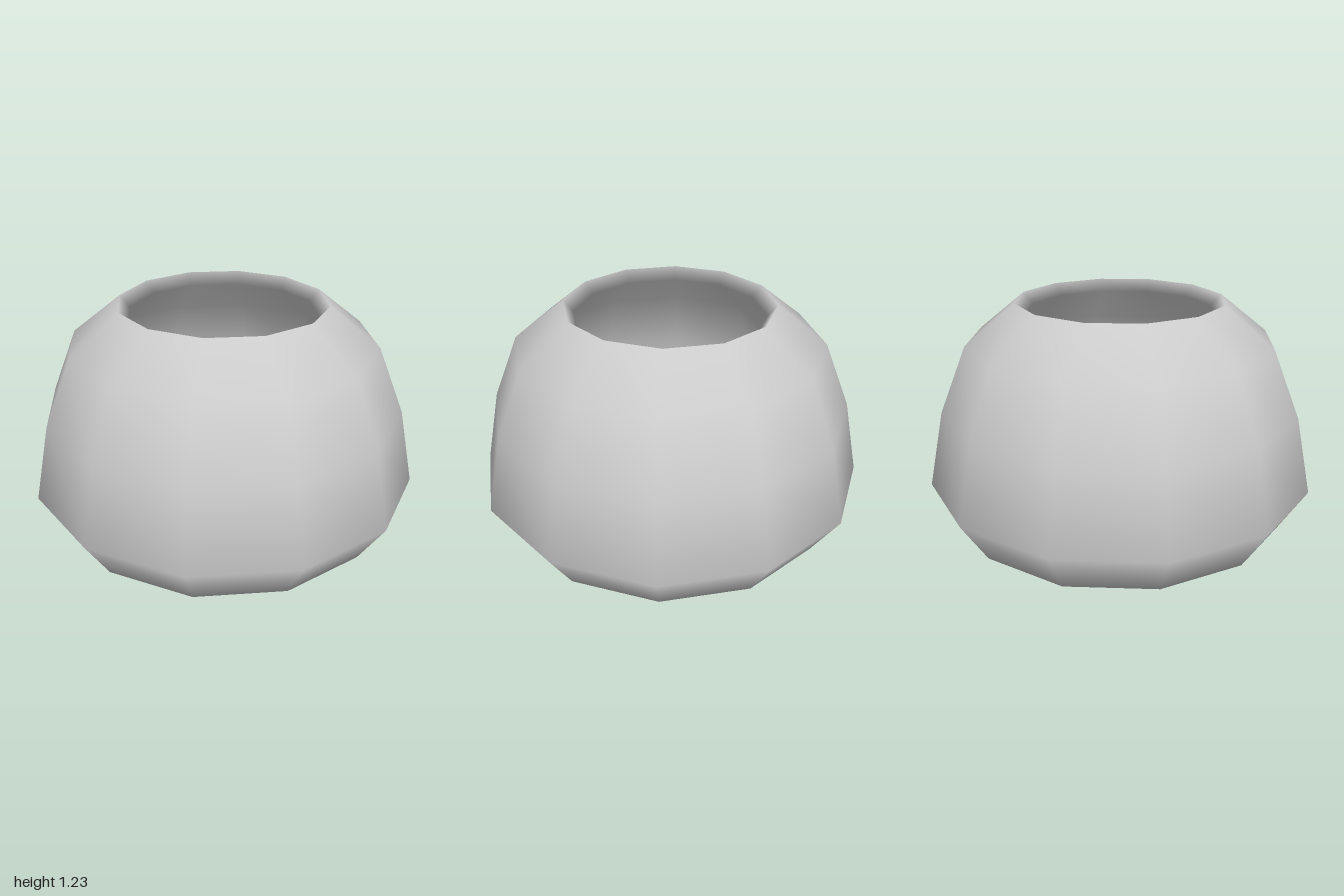
import * as THREE from 'three';

const SIDES = 12;

// Outer wall, from the middle of the base up to the lip
const outer = [
  [0, 0], [0.53, 0], [0.86, 0.08], [1, 0.3],
  [0.92, 0.69], [0.785, 1.025], [0.53, 1.23],
];

// Inner wall, from the lip down to the middle of the floor
const inner = [
  [0.48, 1.17], [0.72, 0.975], [0.84, 0.667],
  [0.92, 0.315], [0.81, 0.145], [0.52, 0.08], [0, 0.08],
];

export function createModel() {
  const group = new THREE.Group();
  group.name = 'bowl';

  // One closed, thick-walled shell with smooth shading and a twelve-sided outline
  const profile = [...outer, ...inner].map(([r, y]) => new THREE.Vector2(r, y));
  const shell = new THREE.Mesh(
    new THREE.LatheGeometry(profile, SIDES),
    new THREE.MeshStandardMaterial({ color: 0xcccccc }),
  );
  shell.name = 'bowlShell';
  group.add(shell);

  return group;
}
